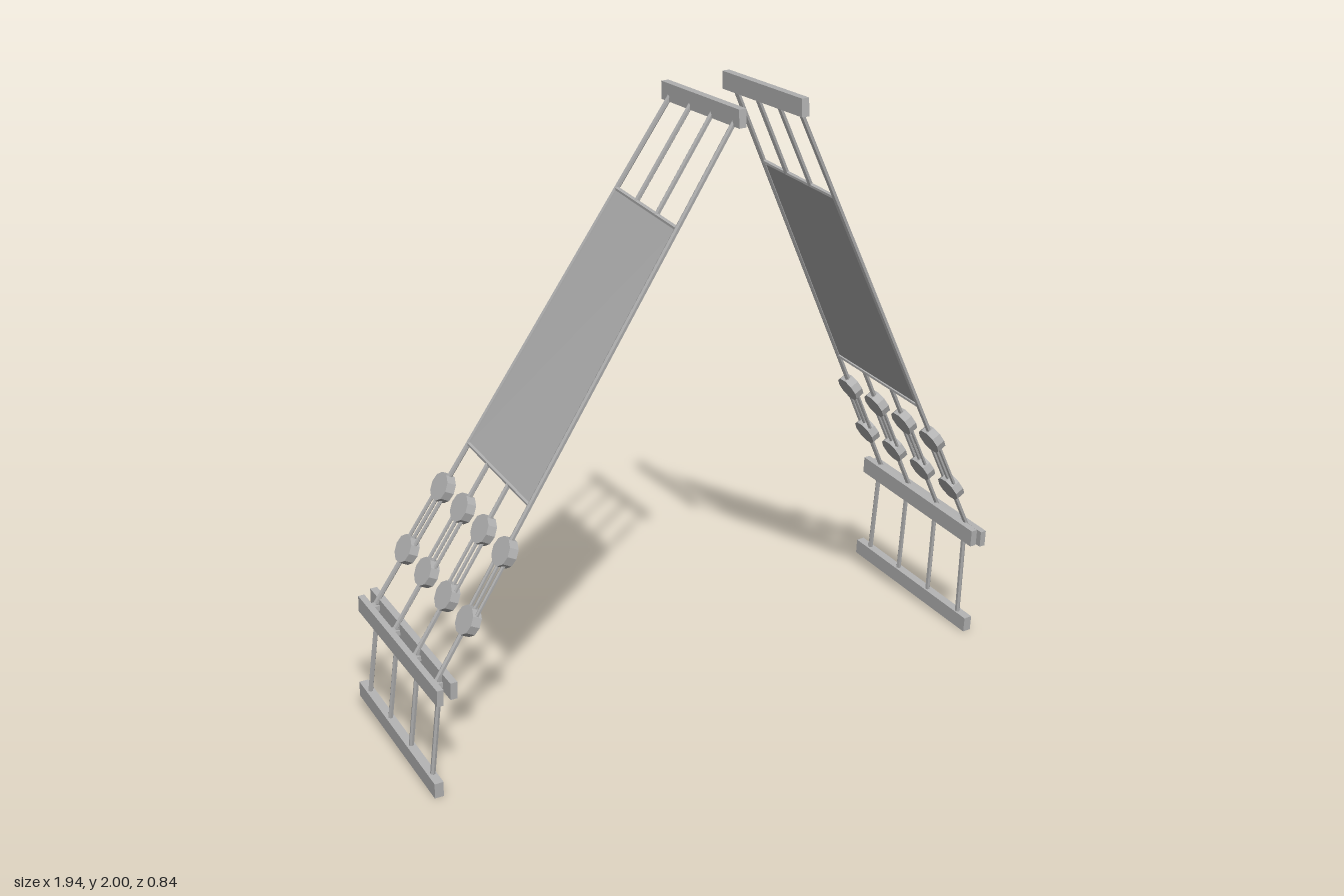
import * as THREE from 'three';

const material = (name, color, extra = {}) =>
  Object.assign(new THREE.MeshStandardMaterial({ color, ...extra }), { name });

const V = (x, y, z) => new THREE.Vector3(x, y, z);

export function createModel() {
  const model = new THREE.Group();
  model.name = 'shroudRigging';
  const grey = material('rigging grey', 0xb2b2b2, { flatShading: true });
  const netGrey = material('net grey', 0xb2b2b2, { side: THREE.DoubleSide });

  const add = (group, name, geometry, mat = grey) => {
    const mesh = new THREE.Mesh(geometry, mat);
    mesh.name = name;
    group.add(mesh);
    return mesh;
  };

  // round rope between two points
  const rope = (group, name, a, b, radius = 0.008) => {
    const dir = b.clone().sub(a);
    const mesh = add(group, name, new THREE.CylinderGeometry(radius, radius, dir.length(), 6));
    mesh.position.copy(a).add(b).multiplyScalar(0.5);
    mesh.quaternion.setFromUnitVectors(V(0, 1, 0), dir.normalize());
  };

  // rectangular beam between two points, kept upright
  const beam = (group, name, a, b, width, height) => {
    const dir = b.clone().sub(a);
    const mesh = add(group, name, new THREE.BoxGeometry(width, height, dir.length()));
    dir.normalize();
    const side = V(0, 1, 0).cross(dir).normalize();
    const up = dir.clone().cross(side);
    mesh.quaternion.setFromRotationMatrix(new THREE.Matrix4().makeBasis(side, up, dir));
    mesh.position.copy(a).add(b).multiplyScalar(0.5);
  };

  for (const s of [1, -1]) {
    const side = new THREE.Group();
    side.name = s > 0 ? 'leftRigging' : 'rightRigging';
    model.add(side);
    const P = (x, y, z) => V(s * x, y, z);
    const between = (a, b, t) => a.clone().lerp(b, t);

    // the shroud fan: u runs front to back, t runs top to bottom
    const shroud = (u, t) => between(
      between(P(0.103, 1.96, 0.386), P(0.103, 1.95, 0.053), u),
      between(P(0.933, 0.4, 0.153), P(0.916, 0.435, -0.296), u), t);
    const across = shroud(1, 0.5).sub(shroud(0, 0.5)).normalize();
    const down = shroud(0.5, 1).sub(shroud(0.5, 0)).normalize();
    const normal = across.clone().cross(down).normalize();

    // rails
    beam(side, 'topRail', P(0.1, 1.973, 0.42), P(0.1, 1.955, 0.015), 0.023, 0.052);
    beam(side, 'channelOuterRail', P(0.96, 0.359, 0.21), P(0.944, 0.395, -0.365), 0.02, 0.053);
    beam(side, 'channelInnerRail', P(0.919, 0.374, 0.215), P(0.905, 0.411, -0.36), 0.022, 0.055);
    beam(side, 'bottomRail', P(0.955, 0.027, 0.16), P(0.931, 0.071, -0.42), 0.028, 0.05);

    // net panel with its frame
    const [tl, tr, bl, br] = [shroud(0, 0.186), shroud(1, 0.176), shroud(0, 0.681), shroud(1, 0.677)];
    const net = new THREE.BufferGeometry().setFromPoints([tl, bl, br, tl, br, tr]);
    net.computeVertexNormals();
    add(side, 'netPanel', net, netGrey);
    rope(side, 'netTopBar', tl, tr, 0.007);
    rope(side, 'netBottomBar', bl, br, 0.007);

    for (let i = 0; i < 4; i++) {
      const u = i / 3;
      const outer = i === 0 || i === 3;
      const upper = shroud(u, 0.768), lower = shroud(u, 0.897);

      // shroud ropes; only the outer two run beside the net
      if (outer) rope(side, 'outerShroud', shroud(u, 0), upper);
      else {
        rope(side, 'innerShroudTop', shroud(u, 0), between(tl, tr, u));
        rope(side, 'innerShroudBottom', between(bl, br, u), upper);
      }
      rope(side, 'lowerShroud', lower, shroud(u, 1.01));

      // pair of discs joined by three lanyards
      for (const centre of [upper, lower]) {
        const disc = add(side, 'tensionBlock', new THREE.CylinderGeometry(0.044, 0.044, 0.03, 10));
        disc.position.copy(centre);
        disc.quaternion.setFromUnitVectors(V(0, 1, 0), normal);
      }
      for (const k of [-1, 0, 1]) {
        const offset = across.clone().multiplyScalar(k * 0.025);
        rope(side, 'lanyard', upper.clone().add(offset), lower.clone().add(offset), 0.006);
      }

      // bracket across the channel and chain down to the bottom rail
      const chainTop = between(P(0.932, 0.37, 0.148), P(0.918, 0.405, -0.303), u);
      const chainEnd = between(P(0.951, 0.045, 0.109), P(0.934, 0.085, -0.362), u);
      beam(side, 'channelBracket', chainTop.clone().add(P(-0.02, 0, 0)),
        chainTop.clone().add(P(0.028, 0, 0)), 0.03, 0.016);
      rope(side, 'chainLink', shroud(u, 1), chainTop);
      rope(side, 'chainPlate', chainTop, chainEnd);
    }
  }
  return model;
}
